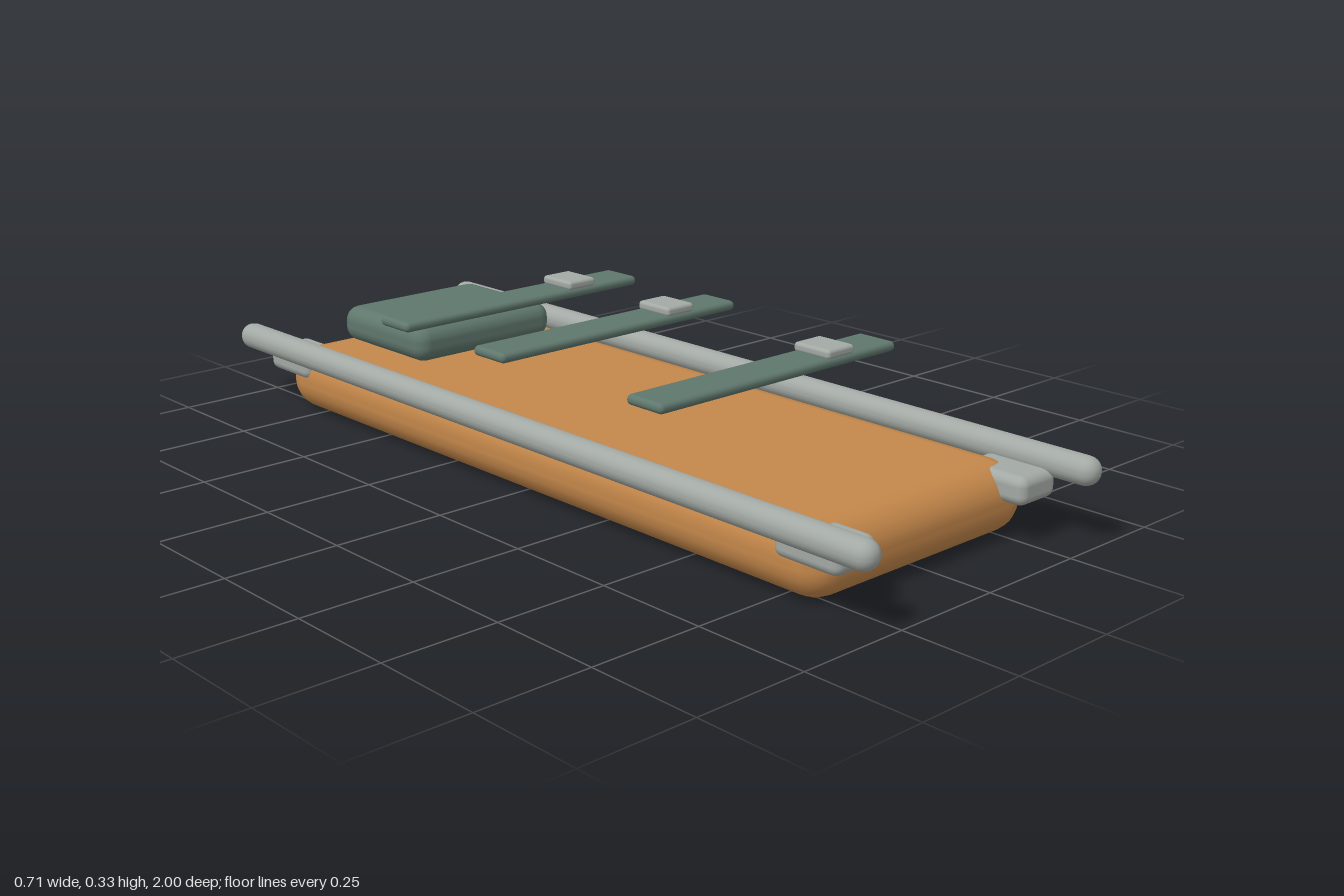
import * as THREE from 'three';
import { RoundedBoxGeometry } from 'three/addons/geometries/RoundedBoxGeometry.js';

export function createModel() {
  const group = new THREE.Group();
  group.name = 'stretcher';

  const material = (name, color) => {
    const m = new THREE.MeshStandardMaterial({ color });
    m.name = name;
    return m;
  };
  const orange = material('orange padding', 0xc4874a);
  const green = material('green fabric', 0x5f776d);
  const grey = material('grey metal', 0xa3a9a4);

  // Rounded block given by its size, centre and edge radius
  const block = (name, mat, size, centre, radius) => {
    const mesh = new THREE.Mesh(new RoundedBoxGeometry(...size, 3, radius), mat);
    mesh.name = name;
    mesh.position.set(...centre);
    group.add(mesh);
  };

  // Padded bed and pillow
  block('mattress', orange, [0.63, 0.15, 1.72], [0, 0.075, 0], 0.07);
  block('pillow', green, [0.396, 0.084, 0.316], [0, 0.2, -0.625], 0.035);

  // Side rails with a bracket at each corner
  for (const [side, sx] of [['left', 1], ['right', -1]]) {
    block(side + 'Rail', grey, [0.06, 0.06, 2], [sx * 0.325, 0.153, 0], 0.029);
    for (const [end, sz] of [['Front', 1], ['Back', -1]]) {
      block(side + end + 'Bracket', grey, [0.112, 0.06, 0.16], [sx * 0.266, 0.114, sz * 0.83], 0.02);
    }
  }

  // Straps across the bed, each with a buckle
  for (const [name, z] of [['chest', -0.37], ['hip', -0.04], ['leg', 0.43]]) {
    block(name + 'Strap', green, [0.676, 0.022, 0.1], [0, 0.299, z], 0.0105);
    block(name + 'Buckle', grey, [0.08, 0.021, 0.098], [0.168, 0.317, z], 0.008);
  }

  return group;
}
